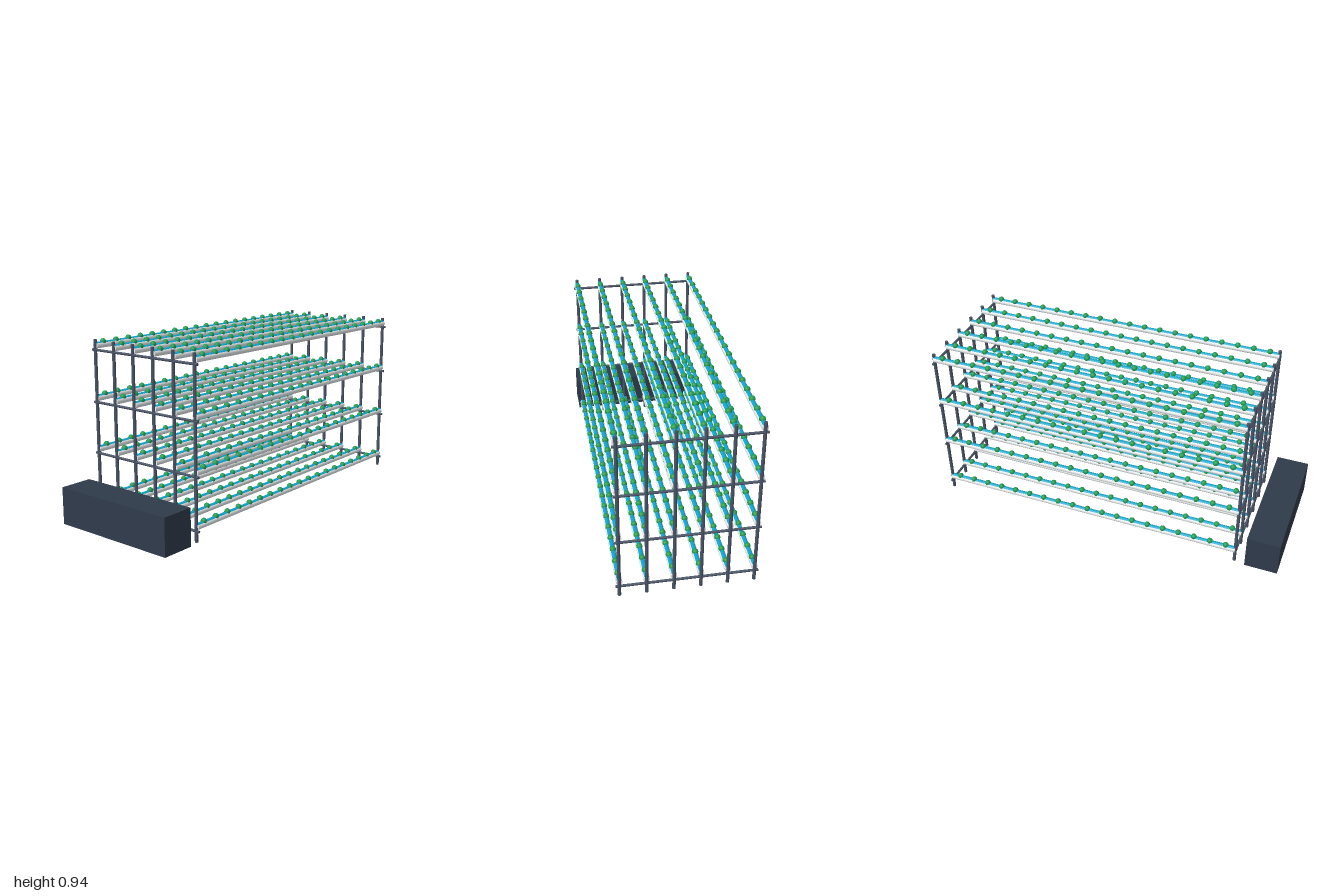
import * as THREE from 'three';

const X0 = -0.757, X1 = 0.989, MID = (X0 + X1) / 2, LEN = X1 - X0;
const ROWS = [-0.345, -0.207, -0.069, 0.069, 0.207, 0.345];
const TIERS = [0.057, 0.335, 0.612, 0.89];
const PLANTS = 19, PLANT_STEP = LEN / (PLANTS + 0.2);

const paint = (color) => new THREE.MeshStandardMaterial({ color });

export function createModel() {
  const model = new THREE.Group();
  const steel = paint(0x4a5568), white = paint(0xecf0f1), blue = paint(0x0fa5cc);
  const green = paint(0x1f9d50), dark = paint(0x2f3b4b);

  const add = (name, geometry, material, x, y, z, parent = model) => {
    const mesh = new THREE.Mesh(geometry, material);
    mesh.name = name;
    mesh.position.set(x, y, z);
    parent.add(mesh);
    return mesh;
  };

  // Reservoir beside the rack
  add('reservoir', new THREE.BoxGeometry(0.182, 0.2, 0.728), dark, -0.909, 0.1, 0);

  // End frames: upright posts and cross rails
  const postGeo = new THREE.CylinderGeometry(0.009, 0.009, 0.945, 12);
  const railGeo = new THREE.CylinderGeometry(0.007, 0.007, 0.728, 12).rotateX(Math.PI / 2);
  for (const x of [X0, X1]) {
    const frame = new THREE.Group();
    frame.name = 'endFrame';
    model.add(frame);
    for (const z of ROWS) add('post', postGeo, steel, x, 0.4725, z, frame);
    for (const y of TIERS) add('crossRail', railGeo, steel, x, y, 0, frame);
  }

  // Growing pipes with a strip of water along the top and a row of plants
  const pipeGeo = new THREE.CylinderGeometry(0.0165, 0.0165, LEN, 16).rotateZ(Math.PI / 2);
  const waterGeo = new THREE.CylinderGeometry(0.0135, 0.0135, LEN - 0.004, 16).rotateZ(Math.PI / 2);
  const plantGeo = new THREE.SphereGeometry(0.0165, 10, 8);
  for (const y of TIERS) {
    const tier = new THREE.Group();
    tier.name = 'growingTier';
    model.add(tier);
    for (const z of ROWS) {
      add('pipe', pipeGeo, white, MID, y + 0.022, z, tier);
      add('water', waterGeo, blue, MID, y + 0.027, z, tier);
      for (let i = 0; i < PLANTS; i++) {
        const x = MID + (i - (PLANTS - 1) / 2) * PLANT_STEP;
        add('plant', plantGeo, green, x, y + 0.038, z, tier);
      }
    }
  }
  return model;
}
